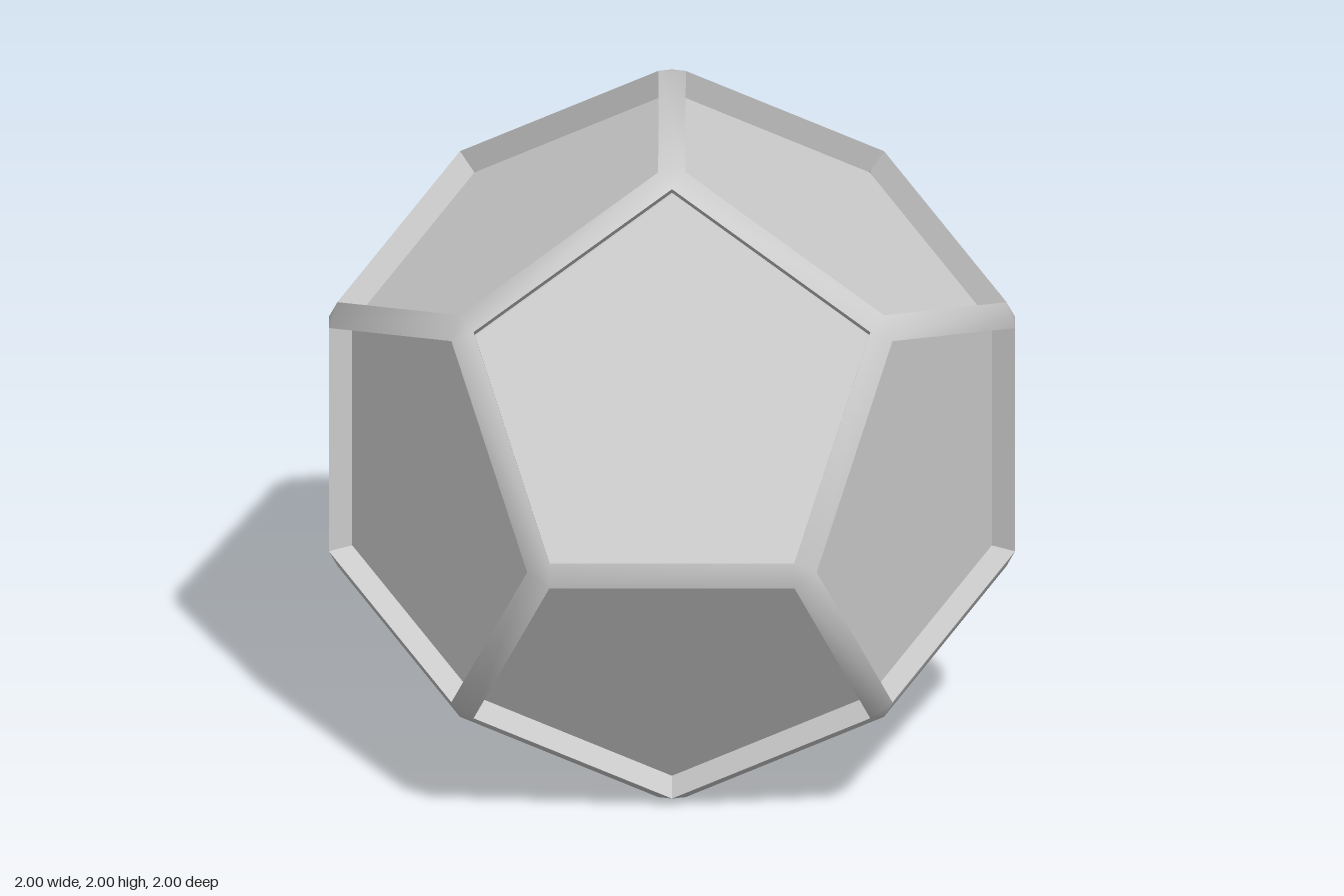
import * as THREE from 'three';

const PHI = (1 + Math.sqrt(5)) / 2;
const HALF_EDGE = 0.3914; // half an edge of the sharp dodecahedron
const PANEL_SCALE = 0.9127; // opening size relative to the full face
const DEPTH = 0.08; // how far the panels sit below the frame

// All sign variants of (0, p, q), cycled through the three axes
function cyclic(p, q) {
  const out = [];
  for (const s of [1, -1]) for (const t of [1, -1]) {
    const y = s * p, z = t * q;
    out.push(new THREE.Vector3(0, y, z), new THREE.Vector3(z, 0, y), new THREE.Vector3(y, z, 0));
  }
  return out;
}

// The 20 dodecahedron corners
function dodecahedronCorners() {
  const corners = cyclic(HALF_EDGE * PHI * PHI, HALF_EDGE);
  const c = HALF_EDGE * PHI;
  for (const x of [c, -c]) for (const y of [c, -c]) for (const z of [c, -c]) corners.push(new THREE.Vector3(x, y, z));
  return corners;
}

// One face: its normal, its corner ids in counter-clockwise order, and its opening
function makeFace(normal, corners) {
  const n = normal.clone().normalize();
  const ids = corners.map((_, i) => i).sort((a, b) => corners[b].dot(n) - corners[a].dot(n)).slice(0, 5);
  const centre = n.clone().multiplyScalar(corners[ids[0]].dot(n));
  const u = corners[ids[0]].clone().sub(centre);
  const w = n.clone().cross(u);
  const angle = (i) => {
    const d = corners[i].clone().sub(centre);
    return Math.atan2(d.dot(w), d.dot(u));
  };
  ids.sort((a, b) => angle(a) - angle(b));
  const rim = ids.map((i) => centre.clone().lerp(corners[i], PANEL_SCALE));
  return { n, ids, rim };
}

function geometryFrom(points, index) {
  let g = new THREE.BufferGeometry().setFromPoints(points);
  if (index) g.setIndex(index);
  g.computeVertexNormals();
  return g;
}

// Softly shaded bevels along every edge, with a small triangle at every corner
function frameGeometry(faces, cornerCount) {
  const points = faces.flatMap((f) => f.rim);
  const index = [];
  const at = (f, id) => f * 5 + faces[f].ids.indexOf(id);
  faces.forEach((face, f) => {
    face.ids.forEach((a, i) => {
      const b = face.ids[(i + 1) % 5];
      const g = faces.findIndex((o, k) => k !== f && o.ids.includes(a) && o.ids.includes(b));
      if (g < f) return;
      const q = [at(f, b), at(f, a), at(g, a), at(g, b)];
      index.push(q[0], q[1], q[2], q[0], q[2], q[3]);
    });
  });
  for (let id = 0; id < cornerCount; id++) {
    const t = [];
    faces.forEach((face, f) => { if (face.ids.includes(id)) t.push(at(f, id)); });
    const [p, q, r] = t.map((k) => points[k]);
    if (p.clone().cross(q).dot(r) < 0) t.reverse(); // face outwards
    index.push(...t);
  }
  return geometryFrom(points, index);
}

// Flat pentagon floor
function floorGeometry({ n, rim }) {
  const floor = rim.map((p) => p.clone().addScaledVector(n, -DEPTH));
  return geometryFrom(floor, [0, 1, 2, 0, 2, 3, 0, 3, 4]);
}

// Five straight walls from the frame down to the floor
function wallGeometry({ n, rim }) {
  const points = [];
  rim.forEach((a, i) => {
    const b = rim[(i + 1) % 5];
    const la = a.clone().addScaledVector(n, -DEPTH);
    const lb = b.clone().addScaledVector(n, -DEPTH);
    points.push(la, a, b, la, b, lb);
  });
  return geometryFrom(points);
}

export function createModel() {
  const model = new THREE.Group();
  model.name = 'panelledDodecahedron';
  const material = new THREE.MeshStandardMaterial({ color: 0xcccccc });
  const add = (parent, geometry, name) => {
    const mesh = new THREE.Mesh(geometry, material);
    mesh.name = name;
    parent.add(mesh);
  };

  const corners = dodecahedronCorners();
  const faces = cyclic(1, PHI).map((n) => makeFace(n, corners));

  add(model, frameGeometry(faces, corners.length), 'edgeFrame');
  faces.forEach((face, i) => {
    const recess = new THREE.Group();
    recess.name = `recess${i + 1}`;
    add(recess, floorGeometry(face), 'panel');
    add(recess, wallGeometry(face), 'recessWalls');
    model.add(recess);
  });

  model.position.y = 1; // stand on the ground
  return model;
}
